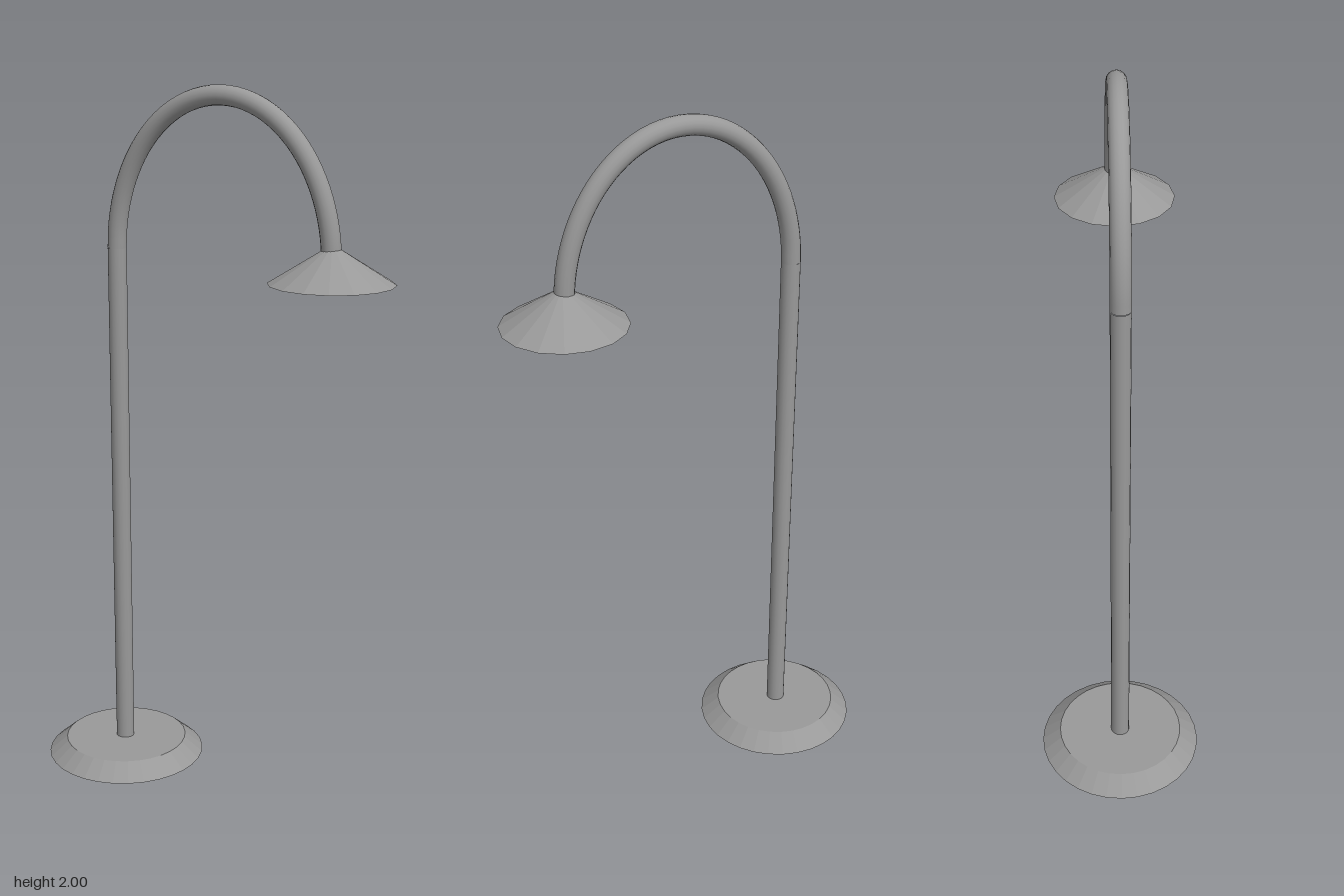
import * as THREE from 'three';

export function createModel() {
  const model = new THREE.Group();
  const metal = new THREE.MeshStandardMaterial({ color: 0x999999 });
  metal.name = 'grey metal';
  // Same grey, faceted and visible from both sides for the open shade
  const facetedMetal = metal.clone();
  facetedMetal.name = 'grey metal faceted';
  facetedMetal.flatShading = true;
  facetedMetal.side = THREE.DoubleSide;

  const poleX = -0.304, lampX = 0.358, tubeR = 0.027, sides = 16;
  const bendY = 1.547, baseH = 0.045, shadeY = 1.5, shadeH = 0.105;

  function add(name, geometry, material, x, y) {
    const mesh = new THREE.Mesh(geometry, material);
    mesh.name = name;
    mesh.position.set(x, y, 0);
    model.add(mesh);
    return mesh;
  }

  // Bevelled round foot
  add('base', new THREE.CylinderGeometry(0.181, 0.234, baseH, 32), facetedMetal, -0.301, baseH / 2);

  // Straight pole
  const poleH = bendY - baseH;
  add('pole', new THREE.CylinderGeometry(tubeR, tubeR, poleH, sides, 1, true), metal, poleX, baseH + poleH / 2);

  // Elliptical gooseneck, from the pole over to the lamp
  const halfSpan = (lampX - poleX) / 2, rise = 2 - tubeR - bendY;
  const points = [];
  for (let i = 0; i <= 24; i++) {
    const a = Math.PI * (1 - i / 24);
    points.push(new THREE.Vector3(Math.cos(a) * halfSpan, Math.sin(a) * rise, 0));
  }
  const arc = new THREE.CatmullRomCurve3(points);
  add('gooseneck', new THREE.TubeGeometry(arc, 48, tubeR, sides), metal, (poleX + lampX) / 2, bendY);

  // Closed end of the tube inside the shade
  const cap = add('tubeEnd', new THREE.CircleGeometry(tubeR, sides), metal, lampX, bendY);
  cap.rotation.x = Math.PI / 2;

  // Open conical shade
  add('shade', new THREE.ConeGeometry(0.17, shadeH, 16, 1, true), facetedMetal, lampX + 0.002, shadeY + shadeH / 2);

  return model;
}
